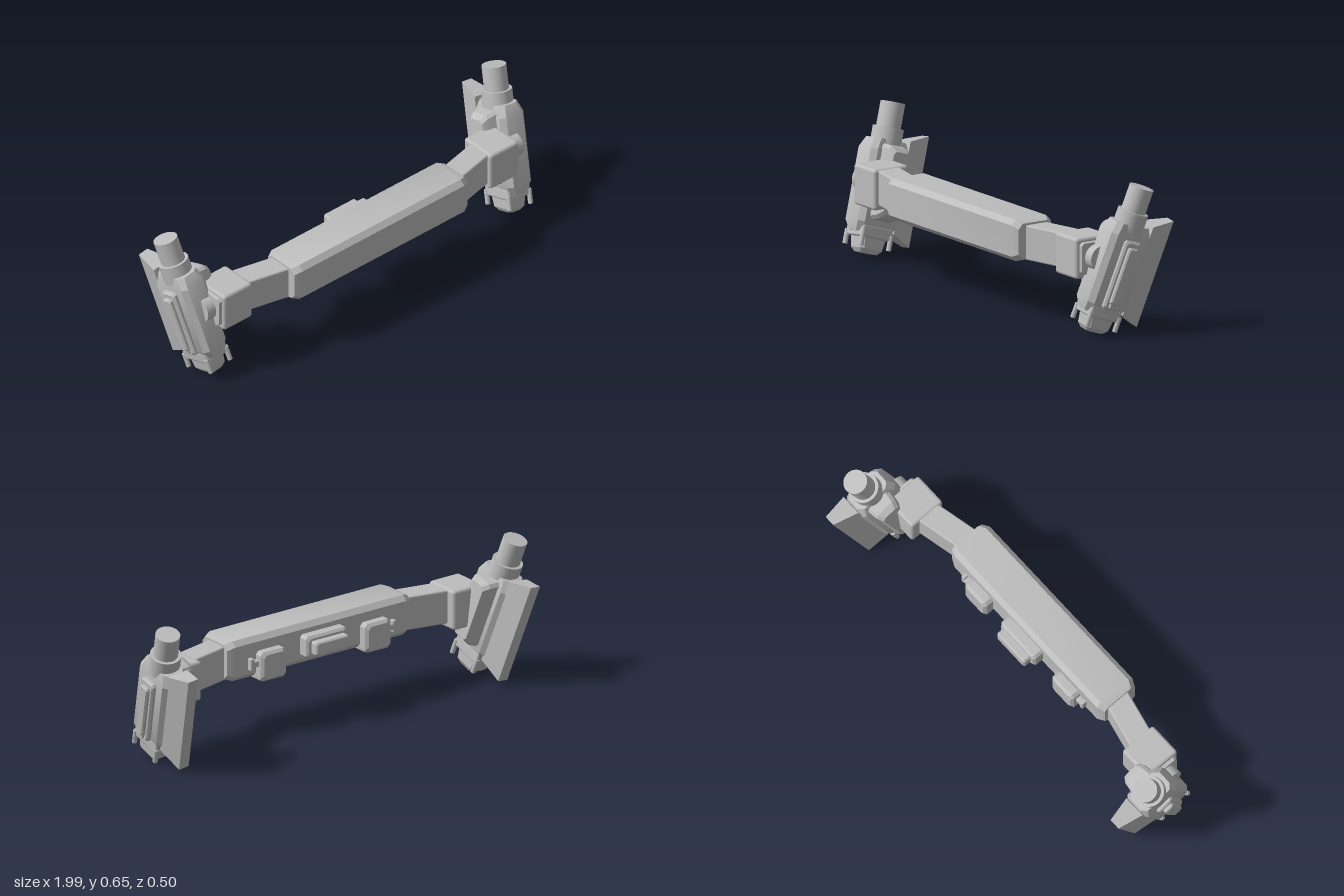
import * as THREE from 'three';
import { toCreasedNormals } from 'three/addons/utils/BufferGeometryUtils.js';
import { RoundedBoxGeometry } from 'three/addons/geometries/RoundedBoxGeometry.js';

// Lofts chamfered rectangles along +y; each section is [y, halfX, halfZ], c is the corner cut.
function loft(sections, c = 0) {
  const pos = [], index = [];
  let n = 0;
  for (const [y, hx, hz] of sections) {
    const ring = c > 0
      ? [[hx, -hz + c], [hx, hz - c], [hx - c, hz], [-hx + c, hz],
         [-hx, hz - c], [-hx, -hz + c], [-hx + c, -hz], [hx - c, -hz]]
      : [[hx, -hz], [hx, hz], [-hx, hz], [-hx, -hz]];
    n = ring.length;
    for (const [x, z] of ring) pos.push(x, y, z);
  }
  const last = (sections.length - 1) * n;
  for (let i = 0; i < last; i += n) {
    for (let j = 0; j < n; j++) {
      const k = (j + 1) % n;
      index.push(i + j, i + n + j, i + k, i + k, i + n + j, i + n + k);
    }
  }
  for (let j = 1; j < n - 1; j++) {
    index.push(0, j, j + 1, last, last + j + 1, last + j);
  }
  const geo = new THREE.BufferGeometry();
  geo.setAttribute('position', new THREE.Float32BufferAttribute(pos, 3));
  geo.setIndex(index);
  return toCreasedNormals(geo, 0.45);
}

// Block rising from 0 to h with a small bevel round its far face.
const plate = (h, hx, hz, b) => loft([[0, hx, hz], [h - b, hx, hz], [h, hx - b, hz - b]], b * 1.2);

export function createModel() {
  const model = new THREE.Group();
  model.name = 'handlebarAssembly';
  const grey = new THREE.MeshStandardMaterial({ color: 0xbdbdbd });
  grey.name = 'plain grey';

  const add = (parent, name, geo, x = 0, y = 0, z = 0) => {
    const mesh = new THREE.Mesh(geo, grey);
    mesh.name = name;
    mesh.position.set(x, y, z);
    parent.add(mesh);
    return mesh;
  };
  const box = (w, h, d, r) => new RoundedBoxGeometry(w, h, d, 2, r);
  const cyl = (r, h) => new THREE.CylinderGeometry(r, r, h, 40);

  // Central bar with tapered ends
  const bar = loft([[-0.488, 0.077, 0.085], [-0.455, 0.09, 0.1],
    [0.455, 0.09, 0.1], [0.488, 0.077, 0.085]], 0.022);
  bar.rotateZ(-Math.PI / 2);
  add(model, 'centralBar', bar, 0, 0.348, 0.15);

  // Raised panel on the back of the bar
  const toBack = (geo) => geo.rotateX(-Math.PI / 2);
  add(model, 'backPanelBase', toBack(plate(0.06, 0.11, 0.05, 0.01)), 0, 0.345, 0.06);
  add(model, 'backPanelCap', toBack(plate(0.04, 0.088, 0.03, 0.006)), 0, 0.345, 0.003);

  for (const s of [1, -1]) {
    // Clips on the back of the bar, with a pronged tab to the outside
    add(model, 'backClip', toBack(plate(0.055, 0.068, 0.065, 0.012)), s * 0.278, 0.31, 0.06);
    add(model, 'clipLip', box(0.13, 0.03, 0.1, 0.008), s * 0.278, 0.26, 0.07);
    add(model, 'clipTab', box(0.05, 0.028, 0.03, 0.005), s * 0.358, 0.325, 0.042);
    add(model, 'clipProng', box(0.02, 0.055, 0.03, 0.005), s * 0.378, 0.325, 0.042);

    // Angled arm to the joint block
    const arm = add(model, 'arm', box(0.26, 0.152, 0.11, 0.008), s * 0.575, 0.34, 0.121);
    arm.rotation.y = s * 0.22;

    // Joint block and pivot
    add(model, 'jointBlock', box(0.16, 0.178, 0.175, 0.014), s * 0.75, 0.332, 0.088);
    const step = loft([[0, 0.074, 0.074], [0.03, 0.068, 0.068]], 0.012);
    step.rotateZ(-s * Math.PI / 2);
    add(model, 'jointStep', step, s * 0.815, 0.332, 0.088);
    const pivot = cyl(0.055, 0.08);
    pivot.rotateZ(Math.PI / 2);
    add(model, 'pivot', pivot, s * 0.85, 0.335, 0.085);

    // Tilted grip pod
    const pod = new THREE.Group();
    pod.name = s > 0 ? 'leftPod' : 'rightPod';
    pod.position.set(s * 0.88, 0.3, 0.012);
    pod.rotation.set(-0.314, 0, -s * 0.13);
    model.add(pod);
    const sideways = (geo, dir) => geo.rotateZ(-dir * Math.PI / 2);

    add(pod, 'podBody', loft([[-0.215, 0.046, 0.09], [-0.172, 0.066, 0.104],
      [0.14, 0.066, 0.104], [0.188, 0.052, 0.085]], 0.022));
    add(pod, 'collar', cyl(0.067, 0.09), 0, 0.196, 0);
    add(pod, 'post', cyl(0.053, 0.15), 0, 0.275, 0);

    // Outer panel: frame, raised cover and small catch
    add(pod, 'outerFrame', sideways(plate(0.035, 0.155, 0.042, 0.008), s), s * 0.05, -0.03, 0);
    add(pod, 'outerCover', sideways(plate(0.03, 0.128, 0.025, 0.006), s), s * 0.072, -0.028, 0);
    add(pod, 'outerCatch', box(0.02, 0.022, 0.04, 0.004), s * 0.085, -0.163, 0);

    // Inner block facing the bar
    add(pod, 'innerBlock', sideways(loft([[0, 0.165, 0.062], [0.05, 0.155, 0.055],
      [0.075, 0.135, 0.042]], 0.014), -s), -s * 0.055, 0.005, 0);

    // Flared rear fin
    add(pod, 'rearFin', toBack(loft([[0, 0.05, 0.2], [0.11, 0.025, 0.24]])), 0, 0, -0.092);

    // Foot with flange and four pins
    add(pod, 'footFlange', box(0.122, 0.055, 0.162, 0.01), 0, -0.208, 0);
    add(pod, 'foot', loft([[-0.3, 0.034, 0.044], [-0.282, 0.046, 0.058],
      [-0.2, 0.05, 0.07]], 0.012));
    for (const px of [-1, 1]) {
      for (const pz of [-1, 1]) {
        add(pod, 'footPin', new THREE.CylinderGeometry(0.011, 0.011, 0.065, 16),
          px * 0.056, -0.242, pz * 0.075);
      }
    }
  }
  return model;
}
